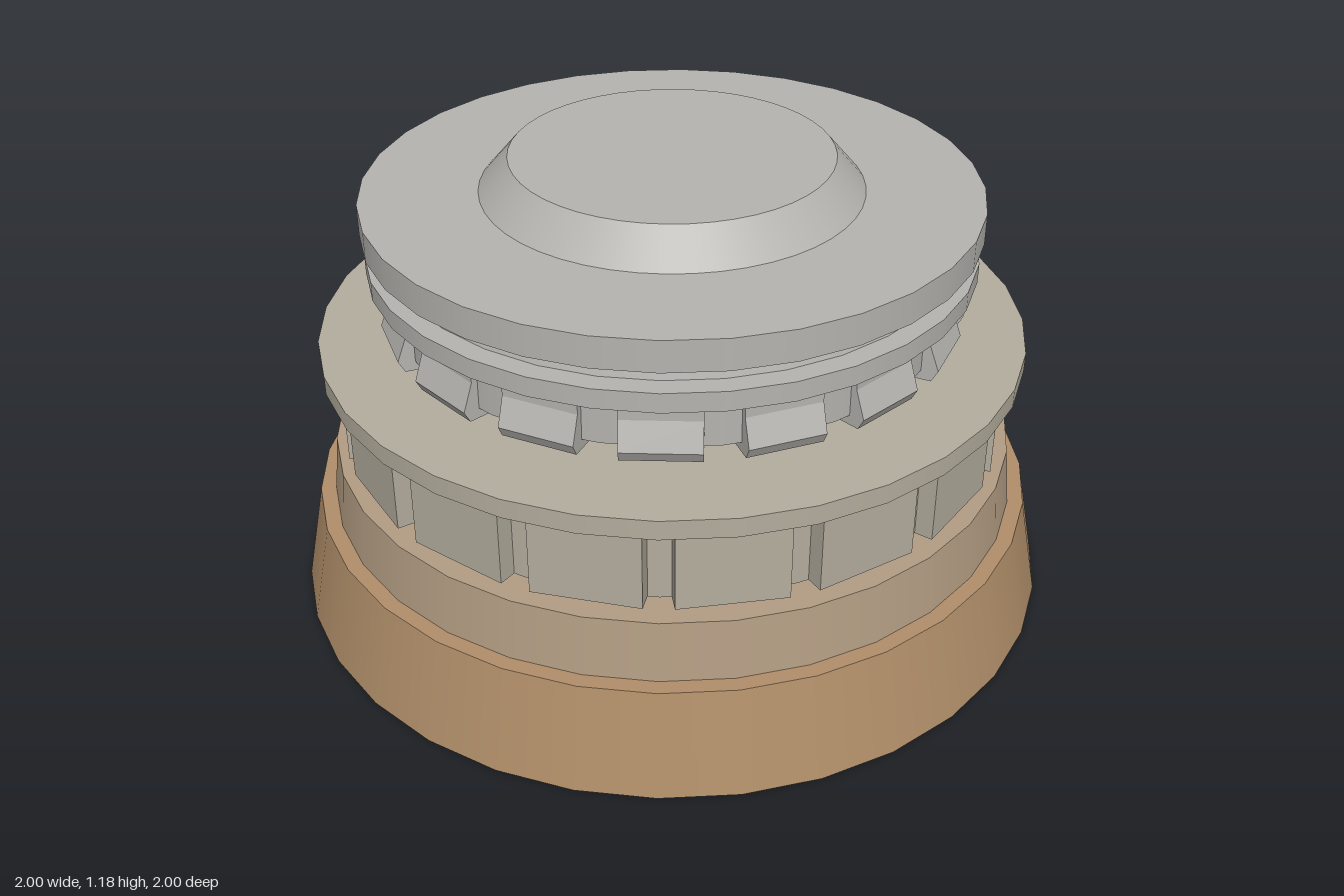
import * as THREE from 'three';

const SIDES = 32;
const brown = new THREE.MeshStandardMaterial({ color: 0xb08e69 });
const tan = new THREE.MeshStandardMaterial({ color: 0xb39d83 });
const khaki = new THREE.MeshStandardMaterial({ color: 0xb3ad9d });
const grey = new THREE.MeshStandardMaterial({ color: 0xb6b4b0 });

// Closed round section between two heights
function disc(name, rBottom, rTop, y0, y1, material, sides = SIDES) {
  const geometry = new THREE.CylinderGeometry(rTop, rBottom, y1 - y0, sides);
  geometry.translate(0, (y0 + y1) / 2, 0);
  const mesh = new THREE.Mesh(geometry, material);
  mesh.name = name;
  return mesh;
}

// Ring of identical blocks; the profile is given as [radius, height] points
function blockRing(name, profile, width, count, offset, material) {
  const group = new THREE.Group();
  group.name = name + 's';
  const shape = new THREE.Shape(profile.map(([r, y]) => new THREE.Vector2(r, y)));
  const geometry = new THREE.ExtrudeGeometry(shape, { depth: width, bevelEnabled: false });
  geometry.translate(0, 0, -width / 2);
  for (let i = 0; i < count; i++) {
    const mesh = new THREE.Mesh(geometry, material);
    mesh.name = name;
    mesh.rotation.y = ((i + offset) / count) * Math.PI * 2;
    group.add(mesh);
  }
  return group;
}

function section(name, ...parts) {
  const group = new THREE.Group();
  group.name = name;
  group.add(...parts);
  return group;
}

export function createModel() {
  const model = new THREE.Group();
  model.name = 'layeredKnob';

  // Tapered foot with a narrower collar
  model.add(section('base',
    disc('foot', 1, 0.945, 0, 0.27, brown),
    disc('collar', 0.905, 0.888, 0.27, 0.425, tan)));

  // Flanged ring with panels hanging below it
  model.add(section('panelRing',
    disc('panelFlange', 0.905, 0.905, 0.67, 0.72, khaki),
    disc('panelCore', 0.82, 0.82, 0.445, 0.67, khaki),
    blockRing('panel', [[0.78, 0.445], [0.853, 0.445], [0.853, 0.67], [0.78, 0.67]],
      0.265, 16, 0.5, khaki)));

  // Insert with hooked clips under its flange
  model.add(section('clipRing',
    disc('insertLip', 0.715, 0.705, 0.955, 0.99, grey),
    disc('insertFlange', 0.768, 0.768, 0.905, 0.955, grey),
    disc('insertCore', 0.705, 0.705, 0.775, 0.905, grey),
    blockRing('clip',
      [[0.66, 0.75], [0.722, 0.75], [0.738, 0.78], [0.712, 0.85], [0.712, 0.905], [0.66, 0.905]],
      0.19, 16, 0, grey)));

  // Cap plate with a raised bevelled centre
  model.add(section('cap',
    disc('capPlate', 0.775, 0.775, 1.01, 1.09, grey),
    disc('capCentre', 0.48, 0.405, 1.09, 1.177, grey, 48)));

  return model;
}
